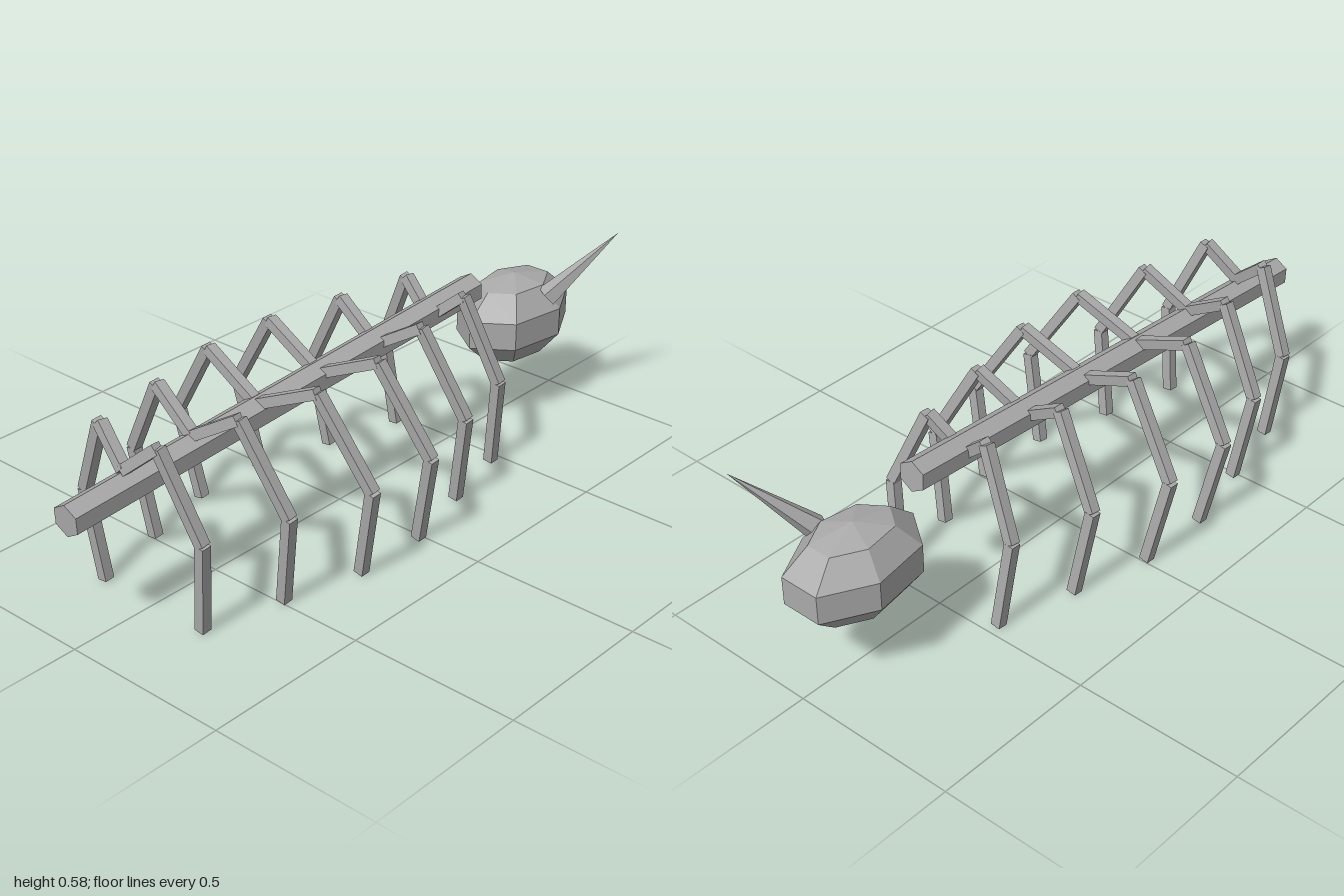
import * as THREE from 'three';

const V = (x, y, z) => new THREE.Vector3(x, y, z);

export function createModel() {
  const root = new THREE.Group();
  const grey = new THREE.MeshStandardMaterial({ color: 0xaaaaaa, flatShading: true });
  grey.name = 'grey';

  const add = (parent, geometry, name) => {
    const mesh = new THREE.Mesh(geometry, grey);
    mesh.name = name;
    parent.add(mesh);
    return mesh;
  };

  // Places a mesh so that its local y axis runs from a to b
  const span = (mesh, a, b) => {
    const y = b.clone().sub(a).normalize();
    const z = V(0, 0, 1).addScaledVector(y, -y.z).normalize();
    const x = y.clone().cross(z);
    mesh.quaternion.setFromRotationMatrix(new THREE.Matrix4().makeBasis(x, y, z));
    mesh.position.copy(a).lerp(b, 0.5);
    return mesh;
  };

  // Long six-sided body, rising towards the back, with an edge on top
  const front = V(0, 0.374, 0.998), back = V(0, 0.465, -0.578);
  span(add(root, new THREE.CylinderGeometry(0.046, 0.046, front.distanceTo(back), 6), 'body'), front, back);

  // Seven-sided faceted bulb behind the body, a corner pointing back
  const bulbGeometry = new THREE.SphereGeometry(1, 7, 5);
  bulbGeometry.rotateY(Math.PI / 2);
  bulbGeometry.scale(0.15, 0.137, 0.221);
  add(root, bulbGeometry, 'bulb').position.set(0, 0.308, -0.79);

  // Single spike on the left of the bulb
  const base = V(0.105, 0.387, -0.815), tip = V(0.237, 0.58, -0.975);
  span(add(root, new THREE.ConeGeometry(0.035, base.distanceTo(tip), 5), 'spike'), base, tip);

  // Six pairs of three-part legs, the middle pairs reaching furthest
  const reach = [
    { hip: 0.104, knee: 0.215, foot: 0.182 },
    { hip: 0.147, knee: 0.286, foot: 0.242 },
    { hip: 0.197, knee: 0.358, foot: 0.302 },
  ];
  const parts = ['upperLeg', 'middleLeg', 'lowerLeg'];
  for (let i = 0; i < 6; i++) {
    const r = reach[Math.min(i, 5 - i)];
    const z = 0.803 - 0.238 * i;
    for (const side of [1, -1]) {
      const leg = new THREE.Group();
      leg.name = (side > 0 ? 'leftLeg' : 'rightLeg') + (i + 1);
      const joints = [
        V(0, 0.436, z),
        V(side * r.hip, 0.525, z - 0.022),
        V(side * r.knee, 0.278, z - 0.054),
        V(side * r.foot, 0.004, z - 0.076),
      ];
      parts.forEach((name, k) => {
        const a = joints[k], b = joints[k + 1];
        span(add(leg, new THREE.BoxGeometry(0.03, a.distanceTo(b), 0.03), name), a, b);
      });
      root.add(leg);
    }
  }
  return root;
}
